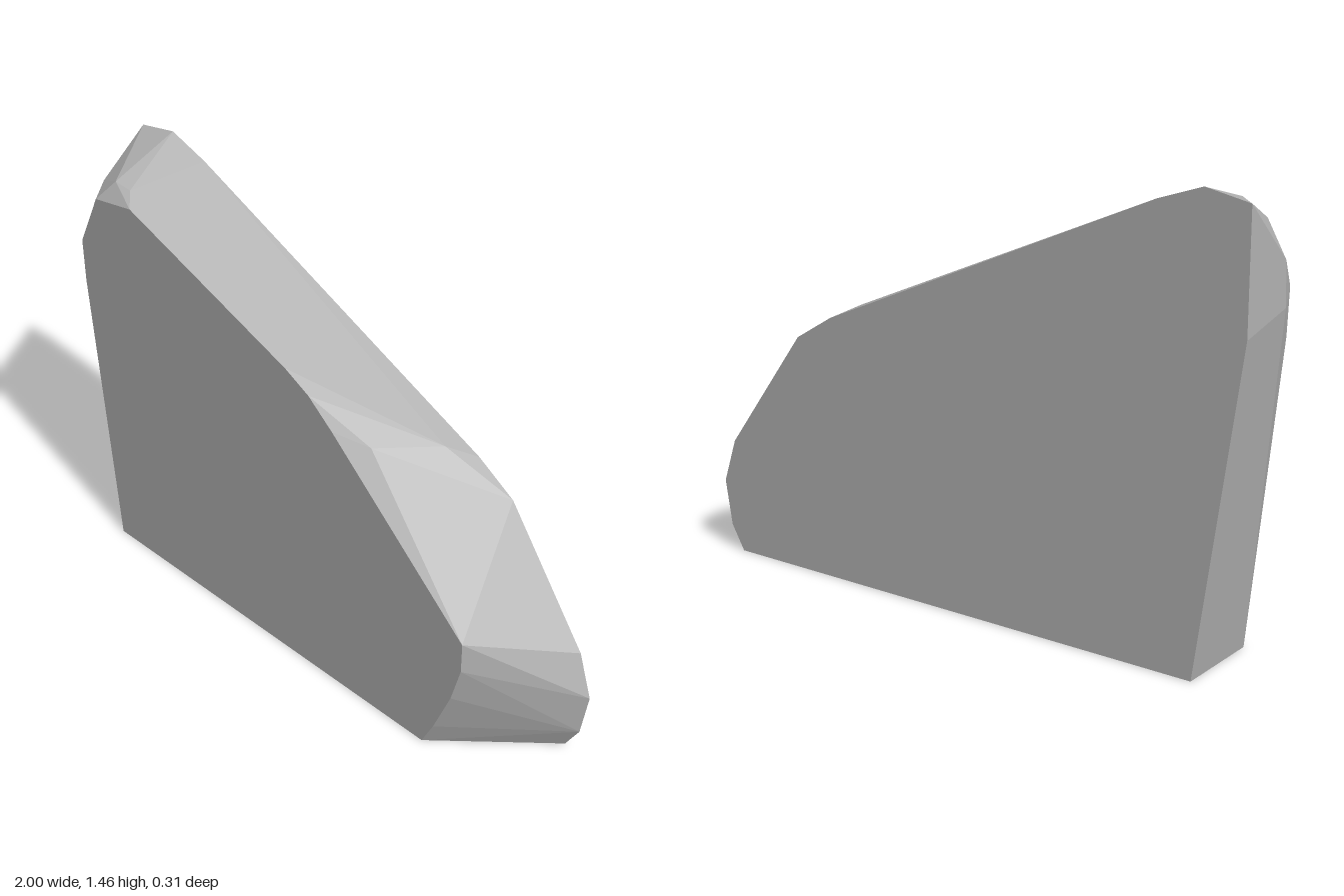
import * as THREE from 'three';
import { ConvexGeometry } from 'three/addons/geometries/ConvexGeometry.js';

export function createModel() {
  const group = new THREE.Group();
  const stone = new THREE.MeshStandardMaterial({ color: 0xb4b4b4 });
  stone.name = 'stone grey';

  const depth = 0.155;
  // outline of the smaller front face
  const front = [
    [-0.855, 0], [0.605, 0], [0.65, 0.09], [0.715, 0.25], [0.75, 0.38], [0.75, 0.485],
    [0.2, 0.97], [0.1, 1.05], [0, 1.1], [-0.7, 1.355], [-0.87, 1.325], [-0.96, 1.14], [-0.955, 0.99],
  ];
  // outline of the larger back face
  const back = [
    [-0.855, 0], [0.925, 0], [0.975, 0.085], [1, 0.24], [0.95, 0.39], [0.65, 0.8],
    [0.51, 0.885], [-0.7, 1.41], [-0.85, 1.46], [-1, 1.43], [-1, 1.05],
  ];
  // chipped corners between the two faces
  const chips = [
    [0.44, 0.925, -0.08], [0.31, 0.94, 0.1], [-0.75, 1.385, 0.11], [-0.82, 1.39, 0.11],
    [-0.92, 1.345, 0.08], [-1, 1.24, 0.05], [-1, 1.1, 0.06],
  ];

  const points = [
    ...front.map(([x, y]) => new THREE.Vector3(x, y, depth)),
    ...back.map(([x, y]) => new THREE.Vector3(x, y, -depth)),
    ...chips.map((p) => new THREE.Vector3(...p)),
  ];
  const slab = new THREE.Mesh(new ConvexGeometry(points), stone);
  slab.name = 'stoneSlab';
  group.add(slab);
  return group;
}
